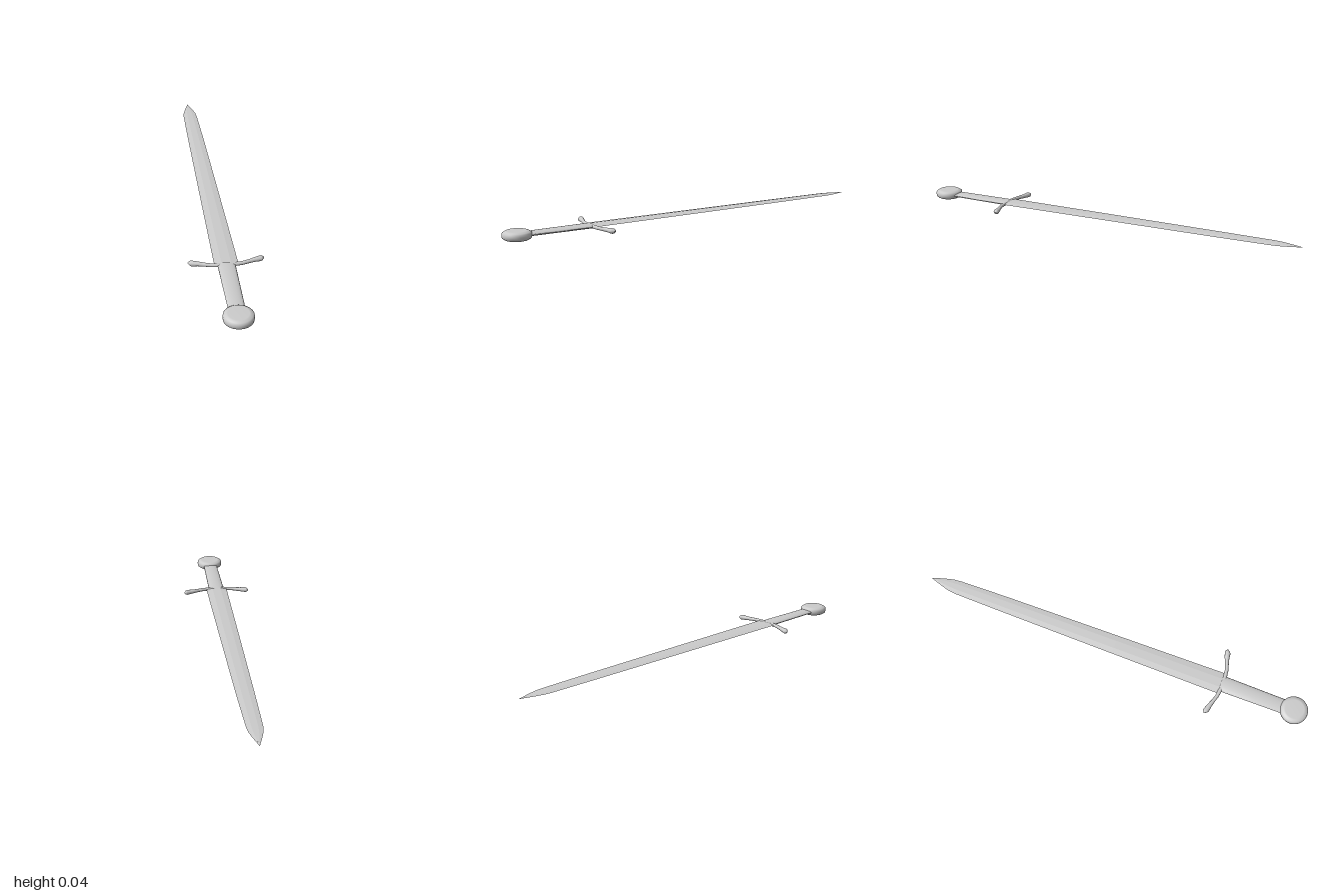
import * as THREE from 'three';

const MID = 0.022; // height of the sword's middle plane

// Skins a list of closed rings (each an array of Vector3) and caps both ends
function loft(rings) {
  const n = rings[0].length, pos = [], idx = [];
  rings.forEach(r => r.forEach(p => pos.push(p.x, p.y, p.z)));
  for (let i = 0; i < rings.length - 1; i++) {
    for (let j = 0; j < n; j++) {
      const a = i * n + j, b = i * n + (j + 1) % n;
      idx.push(a, b, b + n, a, b + n, a + n);
    }
  }
  const last = (rings.length - 1) * n;
  for (let j = 1; j < n - 1; j++) {
    idx.push(0, j + 1, j, last, last + j, last + j + 1);
  }
  const g = new THREE.BufferGeometry();
  g.setAttribute('position', new THREE.Float32BufferAttribute(pos, 3));
  g.setIndex(idx);
  g.computeVertexNormals();
  return g;
}

const ellipse = (n, fn) => Array.from({ length: n }, (_, j) => {
  const a = (j / n) * Math.PI * 2;
  return fn(Math.cos(a), Math.sin(a));
});

export function createModel() {
  const sword = new THREE.Group();
  sword.name = 'sword';
  const smooth = new THREE.MeshStandardMaterial({ color: 0xcccccc });
  const faceted = new THREE.MeshStandardMaterial({ color: 0xcccccc, flatShading: true });
  const add = (name, geometry, material) => {
    const mesh = new THREE.Mesh(geometry, material);
    mesh.name = name;
    sword.add(mesh);
  };

  // Blade: thin flattened section, [z, centre x, half width, half thickness]
  const bladeStations = [
    [-1, -0.011, 0.0006, 0.0004], [-0.965, -0.011, 0.012, 0.0015],
    [-0.93, -0.011, 0.023, 0.002], [-0.89, -0.011, 0.033, 0.0025],
    [-0.85, -0.011, 0.037, 0.003], [-0.6, -0.009, 0.042, 0.0035],
    [0, -0.006, 0.049, 0.004], [0.57, -0.003, 0.055, 0.0045],
  ];
  const bladeSection = [[1, 0], [0.4, 1], [-0.4, 1], [-1, 0], [-0.4, -1], [0.4, -1]];
  add('blade', loft(bladeStations.map(([z, cx, w, t]) =>
    bladeSection.map(([u, v]) => new THREE.Vector3(cx + u * w, MID + 0.002 + v * t, z)))), faceted);

  // Grip: flat oval, slightly narrower toward the pommel
  const gripStations = [[0.56, 0.041, 0.011], [0.72, 0.039, 0.0105], [0.89, 0.037, 0.01]];
  add('grip', loft(gripStations.map(([z, w, t]) =>
    ellipse(16, (u, v) => new THREE.Vector3(-0.003 + u * w, MID + v * t, z)))), smooth);

  // Crossguard: arms sweep toward the blade and flare into pointed ends
  // [distance from centre, z, half height, half depth]
  const arm = [
    [0, 0.564, 0.009, 0.011], [0.03, 0.565, 0.009, 0.01], [0.07, 0.561, 0.0085, 0.009],
    [0.1, 0.552, 0.009, 0.0095], [0.13, 0.542, 0.0105, 0.012],
    [0.16, 0.535, 0.013, 0.015], [0.167, 0.533, 0.0095, 0.011], [0.175, 0.531, 0.001, 0.002],
  ];
  const guardStations = [
    ...arm.slice(1).reverse().map(([x, ...rest]) => [-x, ...rest]),
    ...arm,
  ];
  add('crossguard', loft(guardStations.map(([x, z, h, d]) =>
    ellipse(12, (u, v) => new THREE.Vector3(x, MID + u * h, z + v * d)))), smooth);

  // Pommel: thick disc with rounded rims
  const profile = [
    [0, -0.022], [0.046, -0.022], [0.053, -0.02], [0.0605, -0.016], [0.067, -0.011],
    [0.068, 0], [0.067, 0.011], [0.0605, 0.016], [0.053, 0.02], [0.046, 0.022], [0, 0.022],
  ].map(([r, y]) => new THREE.Vector2(r, y));
  const pommel = new THREE.LatheGeometry(profile, 40);
  pommel.translate(-0.003, MID, 0.932);
  add('pommel', pommel, smooth);

  return sword;
}
